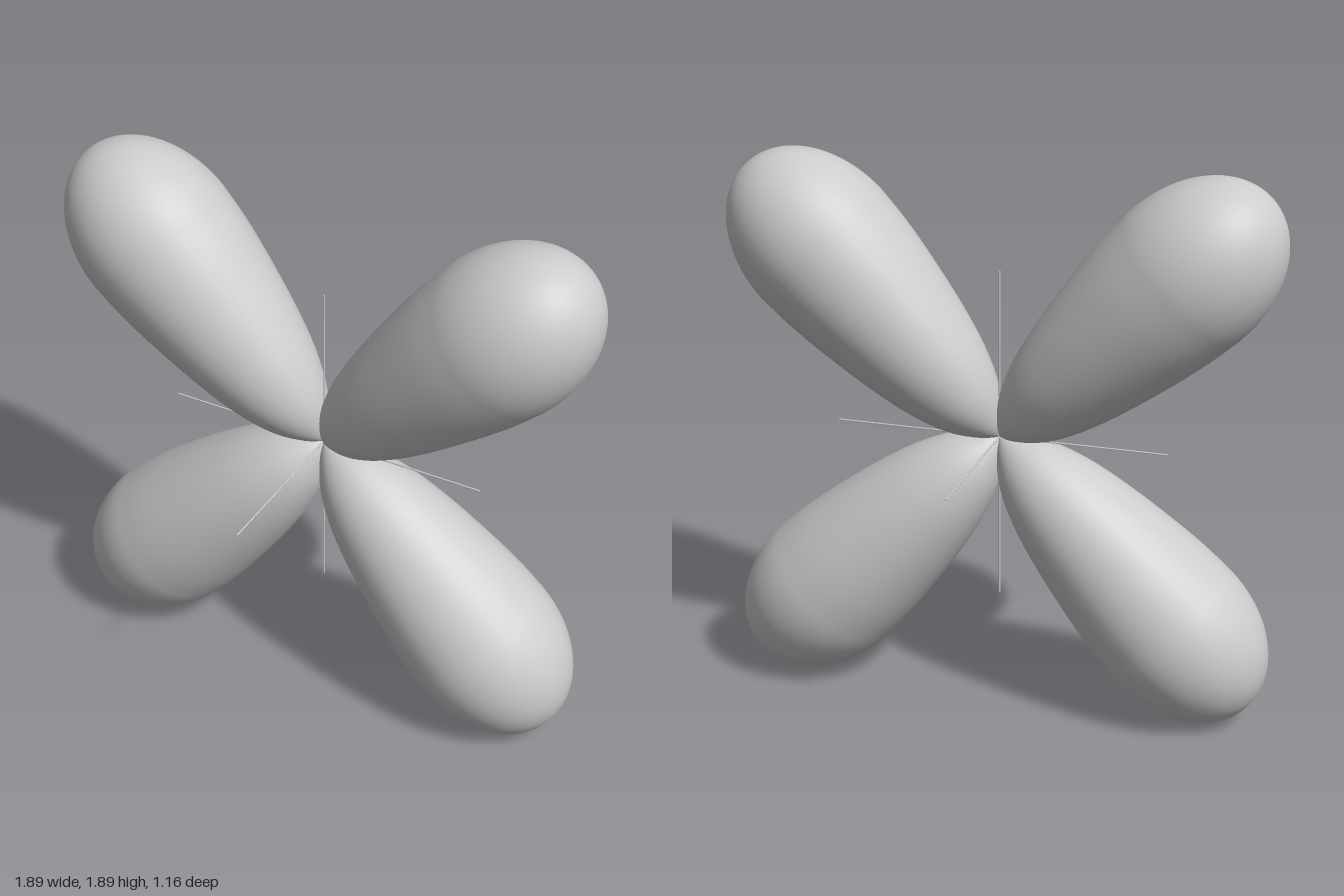
import * as THREE from 'three';

const CENTER_Y = 0.953;
const material = new THREE.MeshStandardMaterial({ color: 0xcccccc });

// Teardrop profile: [radius, distance along the lobe], blunt root to elliptical tip
function lobeGeometry() {
  const root = [
    [0, 0], [0.05, 0.04], [0.118, 0.13], [0.172, 0.26],
    [0.212, 0.42], [0.244, 0.6], [0.264, 0.75], [0.272, 0.88],
  ].map(([r, a]) => new THREE.Vector2(r, a));
  const points = new THREE.SplineCurve(root).getPoints(28);
  const tipSteps = 20;
  for (let i = 1; i <= tipSteps; i++) {
    const t = (i / tipSteps) * Math.PI / 2;
    points.push(new THREE.Vector2(i === tipSteps ? 0 : 0.272 * Math.cos(t), 0.88 + 0.368 * Math.sin(t)));
  }
  return new THREE.LatheGeometry(points, 40);
}

export function createModel() {
  const group = new THREE.Group();
  group.name = 'fourLobeOrbital';

  // Four lobes on the diagonals of the front plane
  const geometry = lobeGeometry();
  ['upperLeftLobe', 'upperRightLobe', 'lowerRightLobe', 'lowerLeftLobe'].forEach((name, i) => {
    const lobe = new THREE.Mesh(geometry, material);
    lobe.name = name;
    lobe.position.y = CENTER_Y;
    lobe.rotation.z = -Math.PI / 4 + i * Math.PI / 2;
    group.add(lobe);
  });

  // Three thin axis rods crossing at the centre
  const rod = new THREE.CylinderGeometry(0.003, 0.003, 1.16, 8);
  const axes = [
    ['sidewaysAxis', 0, Math.PI / 2],
    ['uprightAxis', 0, 0],
    ['depthAxis', Math.PI / 2, 0],
  ];
  for (const [name, rx, rz] of axes) {
    const axis = new THREE.Mesh(rod, material);
    axis.name = name;
    axis.position.y = CENTER_Y;
    axis.rotation.set(rx, 0, rz);
    group.add(axis);
  }

  return group;
}
